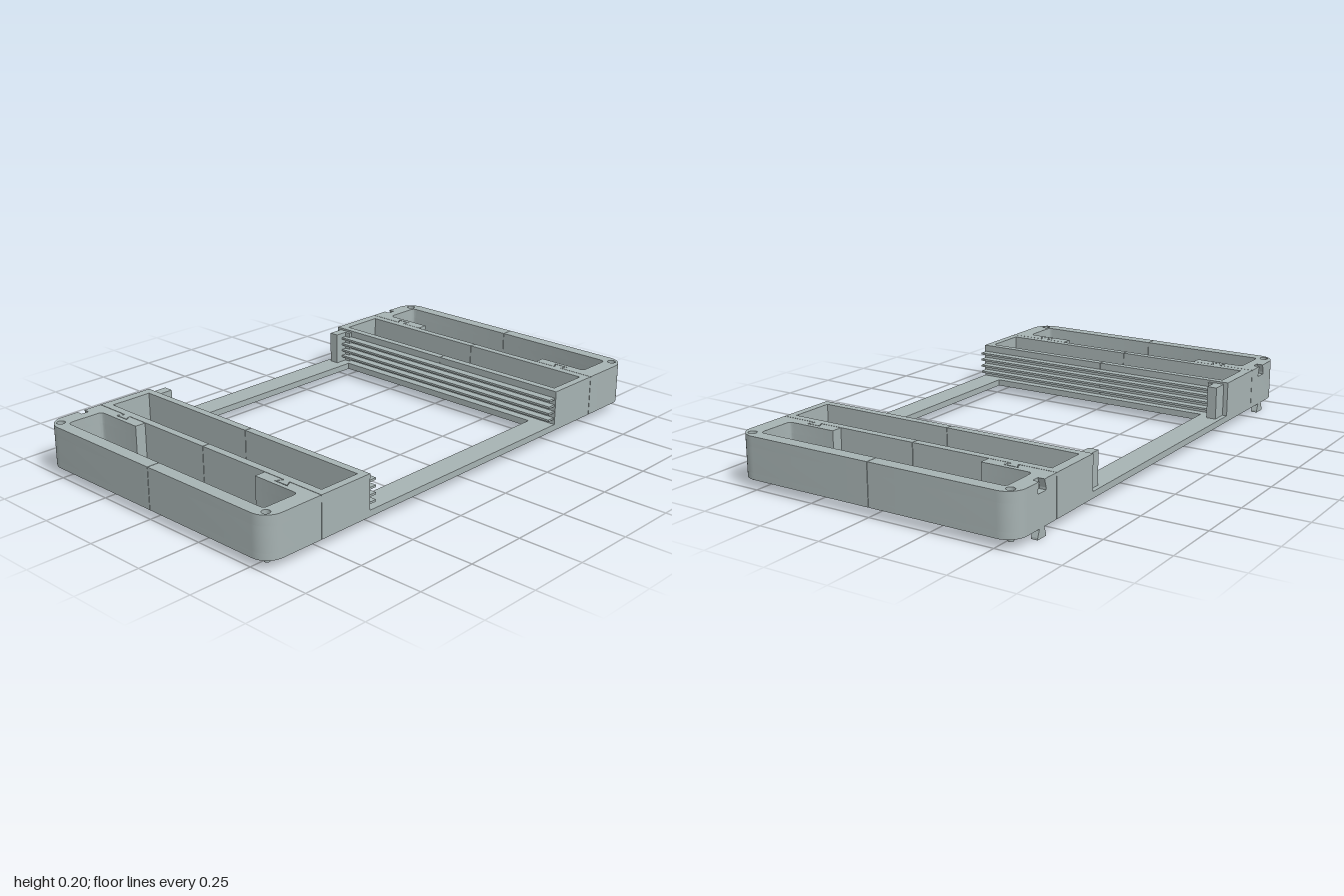
import * as THREE from 'three';
import { toCreasedNormals } from 'three/addons/utils/BufferGeometryUtils.js';

const BOTTOM = 0.035, FLOOR = 0.06, LEDGE = 0.155, TOP = 0.195, DEPTH = 0.58;
const SEAM = 0.001; // half the gap between front and back halves
const JOIN = 0.757; // edge of the outer tray next to the bin

export function createModel() {
  const model = new THREE.Group();
  model.name = 'modularTray';
  const grey = new THREE.MeshStandardMaterial({ color: 0xa6b2b2 });
  grey.name = 'slate grey';

  function add(parent, name, geometry, x = 0, y = 0, z = 0) {
    const mesh = new THREE.Mesh(geometry, grey);
    mesh.name = name;
    mesh.position.set(x, y, z);
    parent.add(mesh);
    return mesh;
  }

  // Closed outline, always counter-clockwise so that faces and holes point outward
  function outline(pts) {
    const v = pts.map(([x, y]) => new THREE.Vector2(x, y));
    return THREE.ShapeUtils.isClockWise(v) ? v.reverse() : v;
  }

  // Extrude a plan outline (x, z) upward between two heights
  function slab(pts, y0, y1, holes = []) {
    const flip = (list) => outline(list.map(([x, z]) => [x, -z]));
    const shape = new THREE.Shape(flip(pts));
    holes.forEach((h) => shape.holes.push(new THREE.Path(flip(h).reverse())));
    const geo = new THREE.ExtrudeGeometry(shape, { depth: y1 - y0, bevelEnabled: false });
    geo.rotateX(-Math.PI / 2).translate(0, y0, 0);
    return toCreasedNormals(geo, 0.5);
  }

  // Extrude an upright outline (x, y) along z
  const prism = (pts, depth) =>
    new THREE.ExtrudeGeometry(new THREE.Shape(outline(pts)), { depth, bevelEnabled: false });

  function box(parent, name, x0, x1, y0, y1, z0, z1) {
    return add(parent, name, new THREE.BoxGeometry(Math.abs(x1 - x0), y1 - y0, z1 - z0),
      (x0 + x1) / 2, (y0 + y1) / 2, (z0 + z1) / 2);
  }

  // Points along an arc in plan
  function arc(cx, cz, r, a0, a1, n = 10) {
    const pts = [];
    for (let i = 0; i <= n; i++) {
      const a = a0 + ((a1 - a0) * i) / n;
      pts.push([cx + r * Math.cos(a), cz + r * Math.sin(a)]);
    }
    return pts;
  }

  const Q = Math.PI / 2;
  const corner = arc(0.93, DEPTH - 0.07, 0.07, 0, Q);
  const pinHole = arc(0.963, 0.54, 0.016, 0, 4 * Q * 19 / 20, 19);
  const keySlot = [[JOIN, 0.436], [0.783, 0.45], [0.783, 0.39], [JOIN, 0.404]];
  const notch = [[0.87, DEPTH], [0.87, 0.555], [0.82, 0.555], [0.82, DEPTH]];
  const pocket = [[JOIN, 0.315], [0.8, 0.315], ...arc(0.815, 0.5, 0.015, 2 * Q, Q, 4),
    ...arc(0.935, 0.5, 0.015, Q, 0, 4)];

  // Base frame around the central opening
  const rect = (x, z) => [[-x, -z], [x, -z], [x, z], [-x, z]];
  add(model, 'baseFrame', slab(rect(0.755, DEPTH), BOTTOM, FLOOR, [rect(0.49, 0.483)]));

  for (const side of [-1, 1]) {
    const wing = new THREE.Group();
    wing.name = side > 0 ? 'leftWing' : 'rightWing';
    model.add(wing);

    for (const end of [-1, 1]) {
      const half = new THREE.Group();
      half.name = end > 0 ? 'frontHalf' : 'backHalf';
      wing.add(half);
      const place = (pts) => pts.map(([x, z]) => [x * side, z * end]);

      // Inner bin walls
      const binEnd = end > 0 ? 0.55 : 0.543;
      add(half, 'innerBinWalls', slab(place([[0.525, SEAM], [0.555, SEAM], [0.555, binEnd],
        [0.725, binEnd], [0.725, SEAM], [0.755, SEAM], [0.755, DEPTH], [0.525, DEPTH]]), FLOOR, TOP));

      // Outer tray: floor with a window, pocket walls, then the rim with pin hole
      const trayOutline = (cut) => [[0.95, SEAM], [1, SEAM], ...corner, ...cut,
        [JOIN, DEPTH], ...keySlot, ...pocket, [0.95, 0.5]];
      add(half, 'outerTrayFloor', slab(place([[0.95, SEAM], [1, SEAM], ...corner, [JOIN, DEPTH],
        [JOIN, 0.315], [0.95, 0.315]]), BOTTOM, FLOOR));
      add(half, 'outerTrayWalls', slab(place(trayOutline([])), FLOOR, LEDGE));
      add(half, 'outerTrayRim', slab(place(trayOutline(end < 0 ? notch : [])), LEDGE, TOP, [place(pinHole)]));

      // Dovetail key joining bin and tray
      add(half, 'dovetailKey', slab(place([[0.755, 0.432], [0.78, 0.445], [0.78, 0.395],
        [0.755, 0.408]]), FLOOR, TOP));

      // Locating peg under the corner
      add(half, 'cornerPeg', toCreasedNormals(new THREE.CylinderGeometry(0.012, 0.01, 0.014, 20), 0.5),
        side * 0.963, 0.028, end * 0.54);
    }

    // Dovetail inlay across the middle joint of the bin floor
    add(wing, 'floorInlay', slab([[side * 0.62, -0.033], [side * 0.675, -0.033],
      [side * 0.66, -0.008], [side * 0.635, -0.008]], FLOOR, FLOOR + 0.002));

    // Slotted rails facing the opening
    for (let i = 0; i < 4; i++) {
      const y = 0.083 + i * 0.027;
      box(wing, 'railRib', side * 0.491, side * 0.526, y - 0.004, y + 0.004, -0.53, 0.575);
    }

    // Stop plate at the back of the rails
    box(wing, 'railStop', side * 0.46, side * 0.53, FLOOR, 0.187, -0.562, -0.523);
    box(wing, 'railStopRib', side * 0.512, side * 0.526, FLOOR, 0.187, -0.53, -0.5);

    // Dovetail foot and the matching undercut slot above it on the back face
    add(wing, 'dovetailFoot', prism([[-0.025, 0], [0.025, 0], [0.025, 0.008], [0.014, 0.036],
      [-0.014, 0.036], [-0.025, 0.008]], 0.025), side * 0.845, 0, -DEPTH);
    for (const s of [-1, 1]) {
      add(wing, 'slotUndercut', prism([[s * 0.025, LEDGE + 0.008], [s * 0.025, TOP], [s * 0.015, TOP]], 0.025),
        side * 0.845, 0, -DEPTH);
    }
  }
  return model;
}
